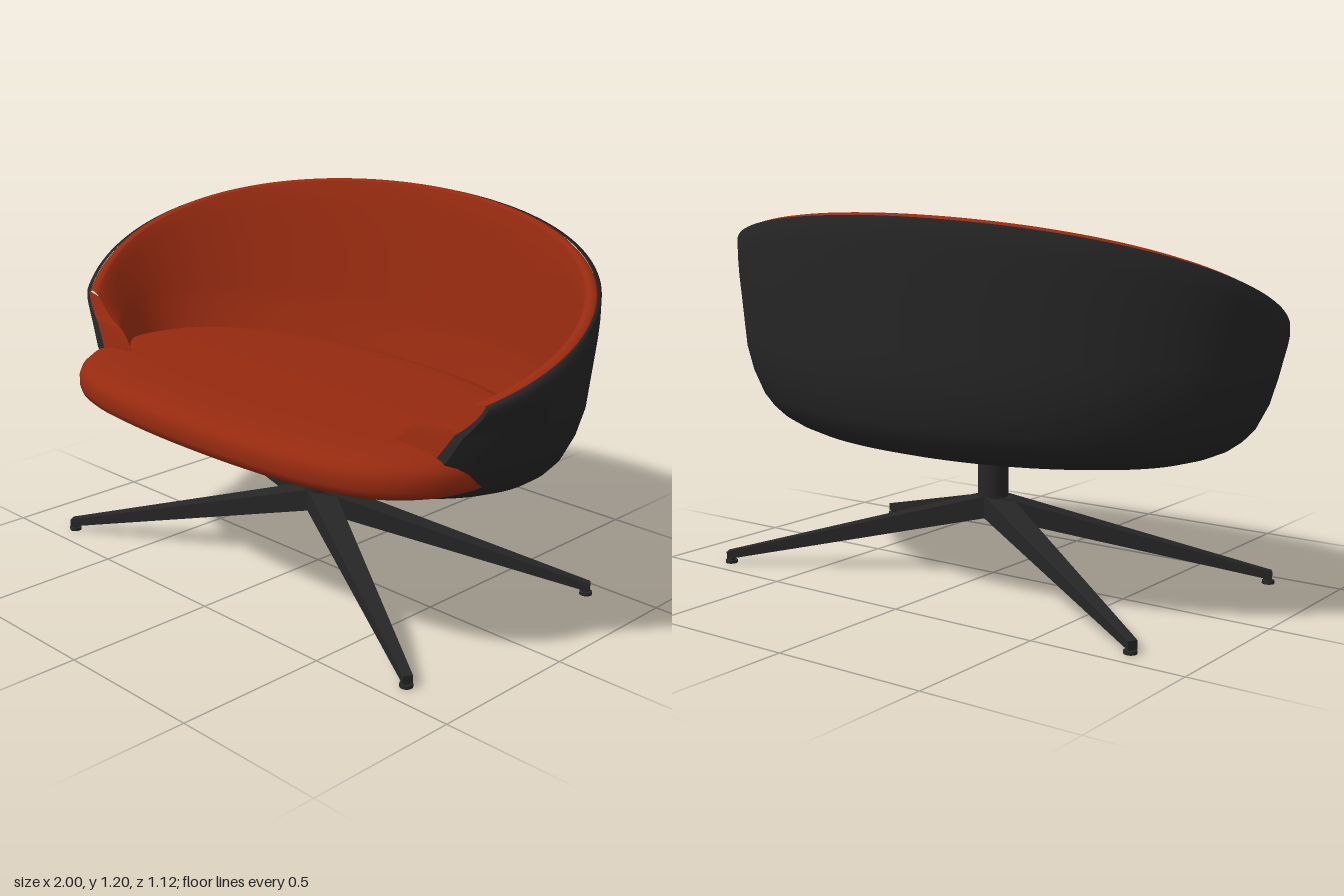
import * as THREE from 'three';

const lerp = THREE.MathUtils.lerp;
const black = new THREE.MeshStandardMaterial({ color: 0x262626 });
black.name = 'charcoal';
const orange = new THREE.MeshStandardMaterial({ color: 0x962a10 });
orange.name = 'rust upholstery';

// Surface through a grid of points; fn(row, column) returns [x, y, z].
function grid(rows, cols, fn, flip) {
  const pos = [], idx = [];
  for (let i = 0; i < rows; i++) for (let j = 0; j < cols; j++) pos.push(...fn(i, j));
  for (let i = 0; i < rows - 1; i++) for (let j = 0; j < cols - 1; j++) {
    const a = i * cols + j, b = a + 1, c = a + cols, d = c + 1;
    if (flip) idx.push(a, c, b, b, c, d);
    else idx.push(a, b, c, b, d, c);
  }
  const g = new THREE.BufferGeometry();
  g.setAttribute('position', new THREE.Float32BufferAttribute(pos, 3));
  g.setIndex(idx);
  g.computeVertexNormals();
  return g;
}

// Bowl rows: outer scale, outer height, inner scale, inner height, front limit in z
const ROWS = [
  [0, 0.435, 0, 0.455, 1],
  [0.3, 0.435, 0.3, 0.455, 1],
  [0.55, 0.437, 0.52, 0.458, 1],
  [0.63, 0.446, 0.58, 0.465, 1],
  [0.72, 0.46, 0.66, 0.485, 0.29],
  [0.78, 0.478, 0.7, 0.5, 0.293],
  [0.83, 0.5, 0.74, 0.525, 0.295],
  [0.87, 0.528, 0.77, 0.55, 0.295],
  [0.905, 0.565, 0.795, 0.585, 0.295],
  [0.945, 0.64, 0.825, 0.65, 0.287],
  [0.97, 0.72, 0.86, 0.72, 0.272],
];
const UPPER = 6, BASE = ROWS.length, COUNT = BASE + UPPER, COLS = 97;
const DEPTH = 0.56;
const rimHeight = z => 0.945 - 0.505 * z - 0.12 * z * z;

// Point on the bowl: u runs -1..1 from the right front edge, round the back, to the left
function bowlPoint(row, u, inner, inset = 0, lift = 0) {
  const upper = row >= BASE;
  const t = upper ? (row - BASE + 1) / UPPER : 0;
  const [so, yo, si, yi, zf] = ROWS[Math.min(row, BASE - 1)];
  const outerS = upper ? lerp(so, 1, Math.min(1, t * 1.3)) : so;
  const innerS = upper ? lerp(si, 0.95, t) : si;
  const limit = upper ? lerp(zf, 0.243, t) : zf;
  const rx = (inner ? innerS : outerS) - inset;
  const rz = Math.max(0, DEPTH * outerS - (outerS - rx));
  const most = rz > limit ? Math.acos(-limit / rz) : Math.PI;
  const a = u * most;
  const low = inner ? yi : yo;
  const y = upper ? lerp(low, rimHeight(-DEPTH * Math.cos(a)), t) : low;
  return [rx * Math.sin(a), y + lift, -rz * Math.cos(a)];
}
const uOf = j => (j / (COLS - 1)) * 2 - 1;

// Seat outline, right half mirrored, starting at the back
const HALF = [[0.3, -0.37], [0.58, -0.29], [0.77, -0.14], [0.84, 0.03], [0.835, 0.18],
  [0.79, 0.33], [0.68, 0.45], [0.5, 0.52], [0.28, 0.55]];
const outline = new THREE.CatmullRomCurve3(
  [[0, -0.39], ...HALF, [0, 0.56], ...HALF.slice().reverse().map(([x, z]) => [-x, z])]
    .map(([x, z]) => new THREE.Vector3(x, 0, z)), true).getPoints(96);

// Cushion section: inset from the outline, height
const CUSHION = [[1, 0.525], [0.06, 0.525], [0.025, 0.532], [0.006, 0.545], [0, 0.565],
  [0, 0.595], [0.008, 0.617], [0.028, 0.636], [0.07, 0.65], [0.16, 0.657], [0.3, 0.66], [1, 0.662]];

export function createModel() {
  const model = new THREE.Group();
  const add = (name, geometry, material, parent = model) => {
    const mesh = new THREE.Mesh(geometry, material);
    mesh.name = name;
    parent.add(mesh);
    return mesh;
  };

  // Hard outer shell with a thin rim
  add('outerShell', grid(COUNT + 1, COLS, (i, j) => i < COUNT
    ? bowlPoint(i, uOf(j), false)
    : bowlPoint(COUNT - 1, uOf(j), false, 0.014), true), black);

  // Upholstered lining, rolled over the top edge
  const ROLL = [[0.043, 0.004], [0.034, 0.007], [0.022, 0.006], [0.013, -0.003]];
  add('innerLining', grid(COUNT + ROLL.length, COLS, (i, j) => i < COUNT
    ? bowlPoint(i, uOf(j), true)
    : bowlPoint(COUNT - 1, uOf(j), false, ...ROLL[i - COUNT])), orange);

  // Front edges closing shell and lining on both sides
  for (const u of [-1, 1]) {
    const edge = (from, to) => grid(COUNT - 2, 2, (i, j) => {
      const a = bowlPoint(i + 2, u, false), b = bowlPoint(i + 2, u, true);
      const k = j ? to : from;
      return a.map((v, n) => lerp(v, b[n], k));
    }, u > 0);
    const side = u > 0 ? 'left' : 'right';
    add(side + 'ShellEdge', edge(0, 0.18), black);
    add(side + 'LiningEdge', edge(0.18, 1), orange);
  }

  // Seat cushion
  add('seatCushion', grid(CUSHION.length, outline.length, (i, j) => {
    const [d, y] = CUSHION[i], p = outline[j];
    const kx = Math.max(0, 1 - d / 0.84), kz = Math.max(0, 1 - d / 0.475);
    return [p.x * kx, y, 0.085 + (p.z - 0.085) * kz];
  }, true), orange);

  // Underside mounting plate with a coloured gap around it
  const gap = add('plateGap', new THREE.CylinderGeometry(1, 1, 0.005, 64), orange);
  gap.scale.set(0.49, 1, 0.285);
  gap.position.y = 0.4335;
  const plate = add('mountingPlate', new THREE.CylinderGeometry(1, 1, 0.006, 64), black);
  plate.scale.set(0.465, 1, 0.262);
  plate.position.y = 0.4325;

  // Pedestal column
  add('column', new THREE.CylinderGeometry(0.05, 0.05, 0.22, 32), black).position.y = 0.325;

  // Four tapered legs with feet
  const footX = 0.785, footZ = 0.425;
  const length = Math.hypot(footX, footZ) + 0.012;
  for (const sx of [-1, 1]) for (const sz of [-1, 1]) {
    const leg = new THREE.Group();
    leg.name = (sz > 0 ? 'front' : 'back') + (sx > 0 ? 'Left' : 'Right') + 'Leg';
    leg.rotation.y = Math.atan2(-sz * footZ, sx * footX);
    const bar = new THREE.BoxGeometry(1, 1, 1);
    const p = bar.attributes.position;
    for (let i = 0; i < p.count; i++) {
      const t = p.getX(i) + 0.5;
      const top = p.getY(i) > 0;
      p.setXYZ(i, t * length,
        top ? lerp(0.272, 0.04, t) : lerp(0.198, 0.014, t),
        Math.sign(p.getZ(i)) * lerp(0.045, 0.015, t));
    }
    bar.computeVertexNormals();
    add('legBar', bar, black, leg);
    const at = length - 0.012;
    add('footStem', new THREE.CylinderGeometry(0.011, 0.011, 0.02, 16), black, leg).position.set(at, 0.015, 0);
    add('footPad', new THREE.CylinderGeometry(0.02, 0.02, 0.01, 20), black, leg).position.set(at, 0.005, 0);
    model.add(leg);
  }
  return model;
}
